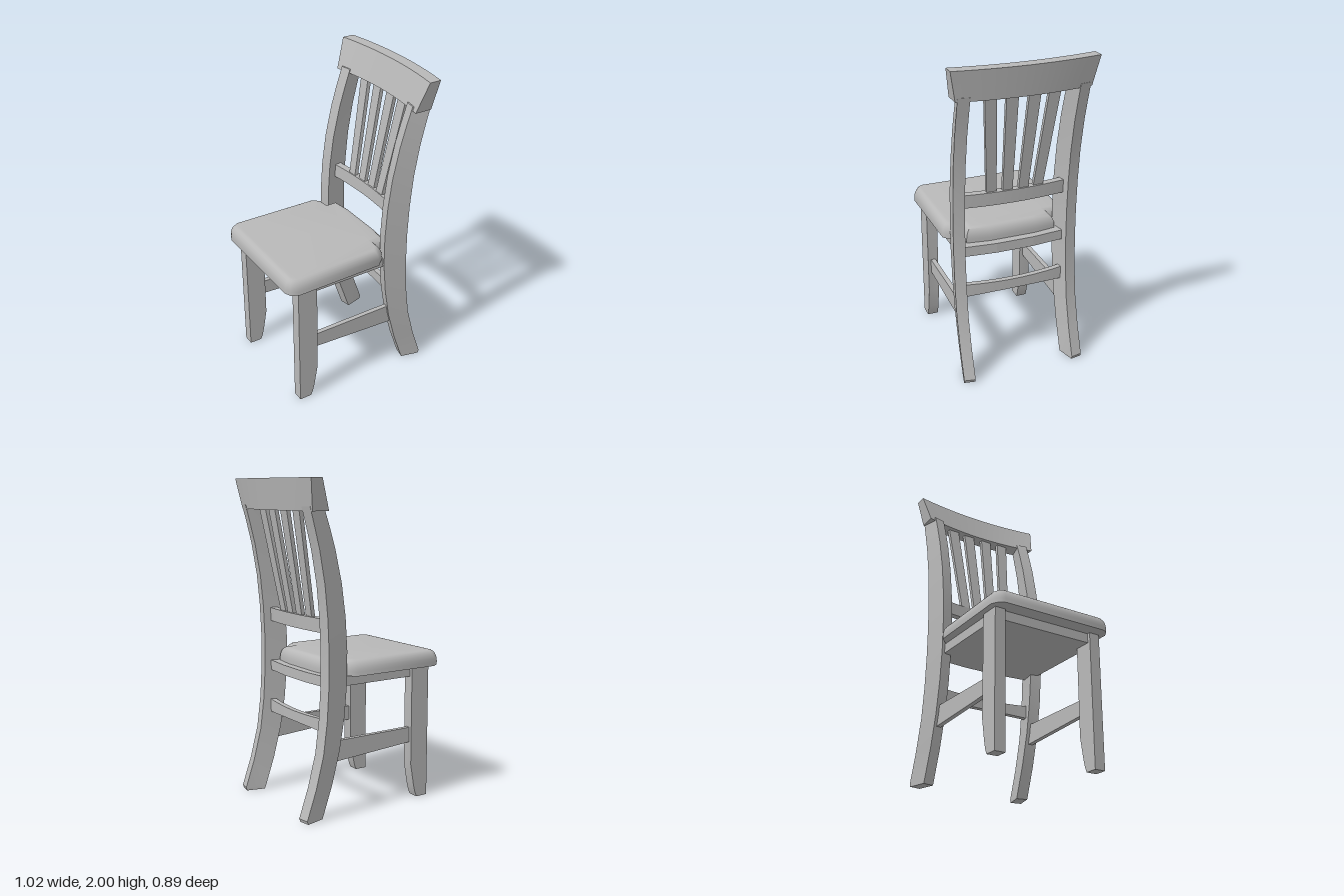
import * as THREE from 'three';
import { toCreasedNormals } from 'three/addons/utils/BufferGeometryUtils.js';

const wood = new THREE.MeshStandardMaterial({ color: 0xb8b8b8 });
wood.name = 'plain grey';

// Skin a row of four-cornered cross-sections, with capped ends
function loft(sections) {
  const tris = [];
  const quad = (a, b, c, d) => tris.push([a, b, c], [a, c, d]);
  for (let i = 0; i < sections.length - 1; i++) {
    const p = sections[i], q = sections[i + 1];
    for (let k = 0; k < 4; k++) quad(p[k], p[(k + 1) % 4], q[(k + 1) % 4], q[k]);
  }
  const first = sections[0], last = sections[sections.length - 1];
  quad(first[3], first[2], first[1], first[0]);
  quad(last[0], last[1], last[2], last[3]);
  // Turn the faces outwards if the corners ran the other way
  const v = (a) => new THREE.Vector3(...a);
  let volume = 0;
  for (const [a, b, c] of tris) volume += v(a).dot(v(b).cross(v(c)));
  if (volume < 0) tris.forEach((t) => t.reverse());
  const geometry = new THREE.BufferGeometry();
  geometry.setAttribute('position', new THREE.Float32BufferAttribute(tris.flat(2), 3));
  return toCreasedNormals(geometry, 0.4);
}

// Crosswise rail: corners(t) gives four [x, y] points for t from -1 to 1
function crossRail(corners, halfWidth, steps = 12) {
  const sections = [];
  for (let i = 0; i <= steps; i++) {
    const t = -1 + (2 * i) / steps;
    sections.push(corners(t * t).map(([x, y, w = halfWidth]) => [x, y, w * t]));
  }
  return loft(sections);
}

// Mirrored plan outline from half of its points
function planShape(half) {
  const other = half.map(([x, z]) => [x, -z]).reverse();
  return new THREE.Shape([...half, ...other].map(([x, z]) => new THREE.Vector2(x, z)));
}

export function createModel() {
  const chair = new THREE.Group();
  chair.name = 'chair';
  const add = (name, geometry) => {
    const mesh = new THREE.Mesh(geometry, wood);
    mesh.name = name;
    chair.add(mesh);
  };

  // Cushion: rounded upper edge, flat underside, notched around the back legs
  const cushion = new THREE.ExtrudeGeometry(planShape([
    [-0.515, 0.345], [-0.5, 0.38], [-0.455, 0.407], [0.12, 0.4], [0.175, 0.35],
    [0.18, 0.29], [0.25, 0.29], [0.27, 0.15],
  ]), { depth: 0.025, bevelSize: 0.045, bevelOffset: -0.045, bevelThickness: 0.07, bevelSegments: 6 });
  const pos = cushion.attributes.position;
  for (let i = 0; i < pos.count; i++) pos.setZ(i, Math.max(pos.getZ(i), 0));
  cushion.rotateX(-Math.PI / 2).translate(0, 0.845, 0);
  // Drop the triangles flattened to nothing so the normals stay clean
  add('seatCushion', toCreasedNormals(cushion, 0.9));

  // Seat frame under the cushion
  const frame = new THREE.ExtrudeGeometry(planShape([
    [-0.42, 0.35], [0.2, 0.35], [0.3, 0.32], [0.32, 0.12],
  ]), { depth: 0.063, bevelEnabled: false });
  frame.rotateX(-Math.PI / 2).translate(0, 0.785, 0);
  add('seatFrame', frame);

  // Back legs: [height, front x, rear x]
  const backProfile = [
    [0, 0.355, 0.485], [0.02, 0.347, 0.492], [0.2, 0.285, 0.43], [0.4, 0.232, 0.378],
    [0.6, 0.198, 0.352], [0.8, 0.18, 0.34], [1.0, 0.178, 0.338], [1.2, 0.19, 0.346],
    [1.4, 0.217, 0.365], [1.6, 0.262, 0.4], [1.72, 0.298, 0.43], [1.84, 0.338, 0.462],
  ];
  // Front legs: [height, front x, rear x], tapering at the foot
  const frontProfile = [
    [0, -0.44, -0.36], [0.03, -0.44, -0.347], [0.08, -0.44, -0.335],
    [0.22, -0.44, -0.31], [0.847, -0.44, -0.31],
  ];
  for (const [side, s] of [['left', 1], ['right', -1]]) {
    const group = side === 'left' ? 'PlusZ' : 'MinusZ';
    add('backLeg' + group, loft(backProfile.map(([y, f, b]) => [
      [f, y, s * 0.37], [f + 0.015, y, s * 0.3], [b, y, s * 0.33], [b - 0.013, y, s * 0.4],
    ])));
    add('frontLeg' + group, loft(frontProfile.map(([y, f, b]) => [
      [f, y, s * 0.37], [f, y, s * 0.3], [b, y, s * 0.3], [b, y, s * 0.37],
    ])));
    // Side stretcher, deeper towards the back
    add('sideStretcher' + group, loft([[-0.33, 0.364], [0.27, 0.33]].map(([x, low]) => [
      [x, low, s * 0.32], [x, 0.458, s * 0.32], [x, 0.458, s * 0.35], [x, low, s * 0.35],
    ])));
  }

  // Rear stretcher, gently arched
  add('rearStretcher', crossRail((q) => [
    [0.29 - 0.02 * q, 0.518 - 0.01 * q], [0.29 - 0.02 * q, 0.582 + 0.01 * q],
    [0.325 - 0.02 * q, 0.582 + 0.01 * q], [0.325 - 0.02 * q, 0.518 - 0.01 * q],
  ], 0.325));

  // Lower back rail, bowed to the rear
  add('lowerBackRail', crossRail((q) => [
    [0.275 - 0.025 * q, 1.105], [0.28 - 0.025 * q, 1.19],
    [0.325 - 0.025 * q, 1.19], [0.32 - 0.025 * q, 1.105],
  ], 0.325));

  // Top rail, bowed and leaning back, wider at the top
  add('topRail', crossRail((q) => [
    [0.375 - 0.045 * q, 1.815, 0.41], [0.435 - 0.04 * q, 2, 0.445],
    [0.51 - 0.04 * q, 2, 0.445], [0.48 - 0.04 * q, 1.815, 0.41],
  ], 0.44));

  // Fanned slats: [height, front x, z centre, half width] at the foot and head
  const slats = { inner: [0.05, 0.069, 0], outer: [0.148, 0.197, 0.008] };
  for (const [name, [low, high, ahead]] of Object.entries(slats)) {
    for (const s of [1, -1]) {
      const ends = [[1.17, 0.285 - ahead, low, 0.031], [1.84, 0.405 - ahead, high, 0.037]];
      add(name + 'Slat' + (s > 0 ? 'PlusZ' : 'MinusZ'), loft(ends.map(([y, x, z, w]) => [
        [x, y, s * (z - w)], [x, y, s * (z + w)], [x + 0.025, y, s * (z + w)], [x + 0.025, y, s * (z - w)],
      ])));
    }
  }
  return chair;
}
